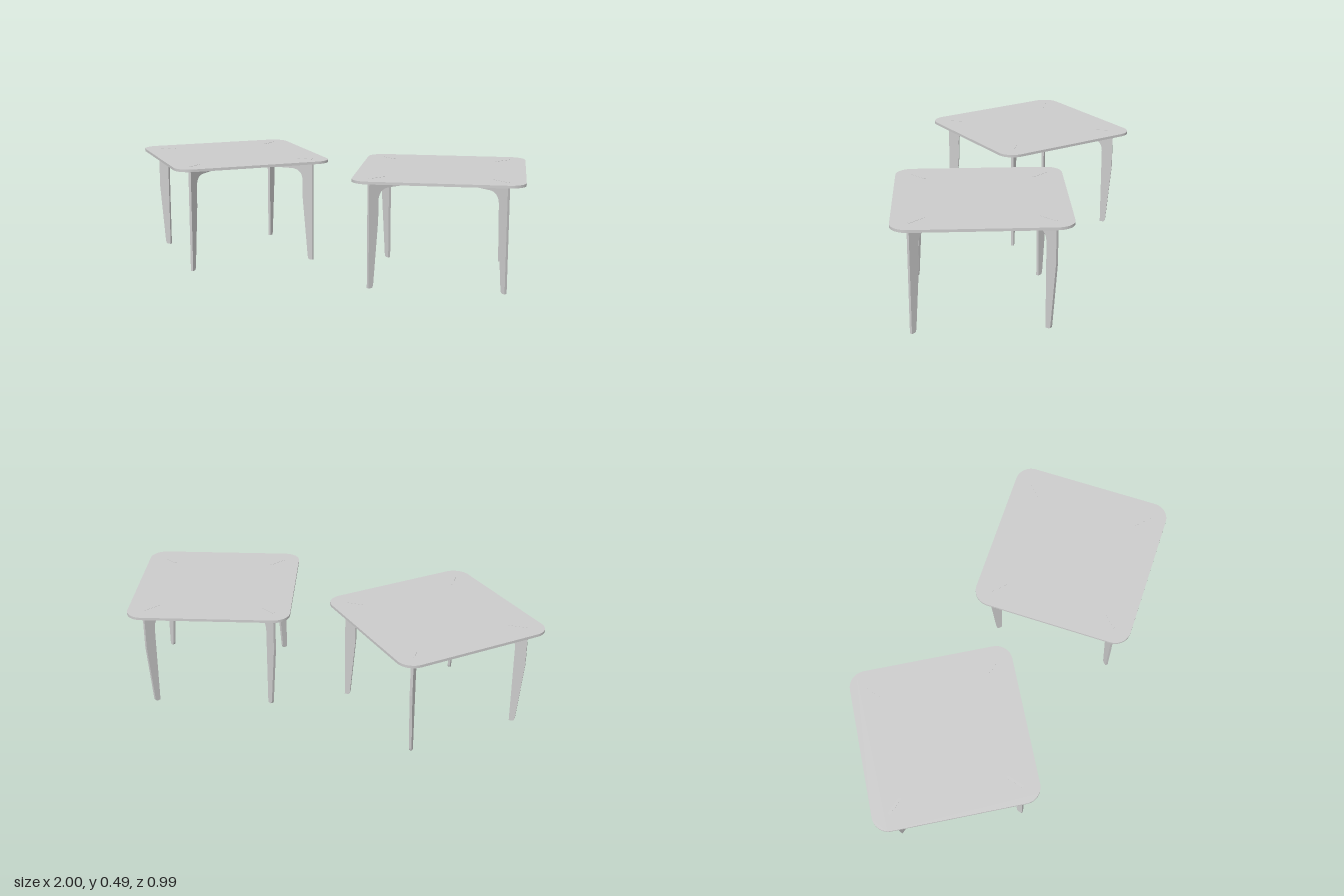
import * as THREE from 'three';

const material = new THREE.MeshStandardMaterial({ color: 0xcccccc, flatShading: true });
const UNDERSIDE = 0.477, TOP = 0.489, BOARD = 0.0125;

// Rounded square top, its corners lying on the local x and z axes
function tableTop() {
  const h = 0.372, r = 0.075;
  const s = new THREE.Shape();
  s.absarc(h - r, h - r, r, 0, Math.PI / 2);
  s.absarc(r - h, h - r, r, Math.PI / 2, Math.PI);
  s.absarc(r - h, r - h, r, Math.PI, Math.PI * 1.5);
  s.absarc(h - r, r - h, r, Math.PI * 1.5, Math.PI * 2);
  s.closePath();
  const g = new THREE.ExtrudeGeometry(s, { depth: TOP - UNDERSIDE, bevelEnabled: false, curveSegments: 10 });
  g.rotateX(-Math.PI / 2).rotateY(Math.PI / 4).translate(0, UNDERSIDE, 0);
  const mesh = new THREE.Mesh(g, material);
  mesh.name = 'tableTop';
  return mesh;
}

// One flat board: two legs, the rail between them and tenons through the top.
// Both legs taper on their -x side.
function legFrame(name) {
  const tenonTop = TOP + 0.001;
  const s = new THREE.Shape();
  s.moveTo(0.423, 0);
  s.lineTo(0.423, UNDERSIDE);
  s.lineTo(0.42, UNDERSIDE);
  s.lineTo(0.42, tenonTop);
  s.lineTo(0.335, tenonTop);
  s.lineTo(0.335, UNDERSIDE);
  s.lineTo(-0.335, UNDERSIDE);
  s.lineTo(-0.335, tenonTop);
  s.lineTo(-0.42, tenonTop);
  s.lineTo(-0.42, UNDERSIDE);
  s.lineTo(-0.424, UNDERSIDE);
  s.lineTo(-0.424, 0.3);
  // left foot
  s.lineTo(-0.399, 0.018);
  s.quadraticCurveTo(-0.397, 0, -0.388, 0);
  s.lineTo(-0.372, 0);
  // arch under the rail
  s.lineTo(-0.372, 0.38);
  s.bezierCurveTo(-0.372, 0.42, -0.352, 0.44, -0.312, 0.44);
  s.lineTo(0.312, 0.44);
  s.bezierCurveTo(0.352, 0.44, 0.372, 0.42, 0.372, 0.38);
  s.lineTo(0.372, 0.3);
  // right foot
  s.lineTo(0.397, 0.018);
  s.quadraticCurveTo(0.399, 0, 0.408, 0);
  s.closePath();
  const g = new THREE.ExtrudeGeometry(s, { depth: BOARD, bevelEnabled: false, curveSegments: 8 });
  g.translate(0, 0, -BOARD / 2);
  const mesh = new THREE.Mesh(g, material);
  mesh.name = name;
  return mesh;
}

// Table with two leg frames crossing at its centre
function table(name, x, turn) {
  const group = new THREE.Group();
  group.name = name;
  const cross = legFrame('crossLegFrame');
  cross.rotation.y = -Math.PI / 2;
  group.add(tableTop(), legFrame('legFrame'), cross);
  group.position.x = x;
  group.rotation.y = turn;
  return group;
}

export function createModel() {
  const model = new THREE.Group();
  model.name = 'tablePair';
  model.add(table('rightTable', -0.505, 0), table('leftTable', 0.561, -Math.PI / 6));
  return model;
}
